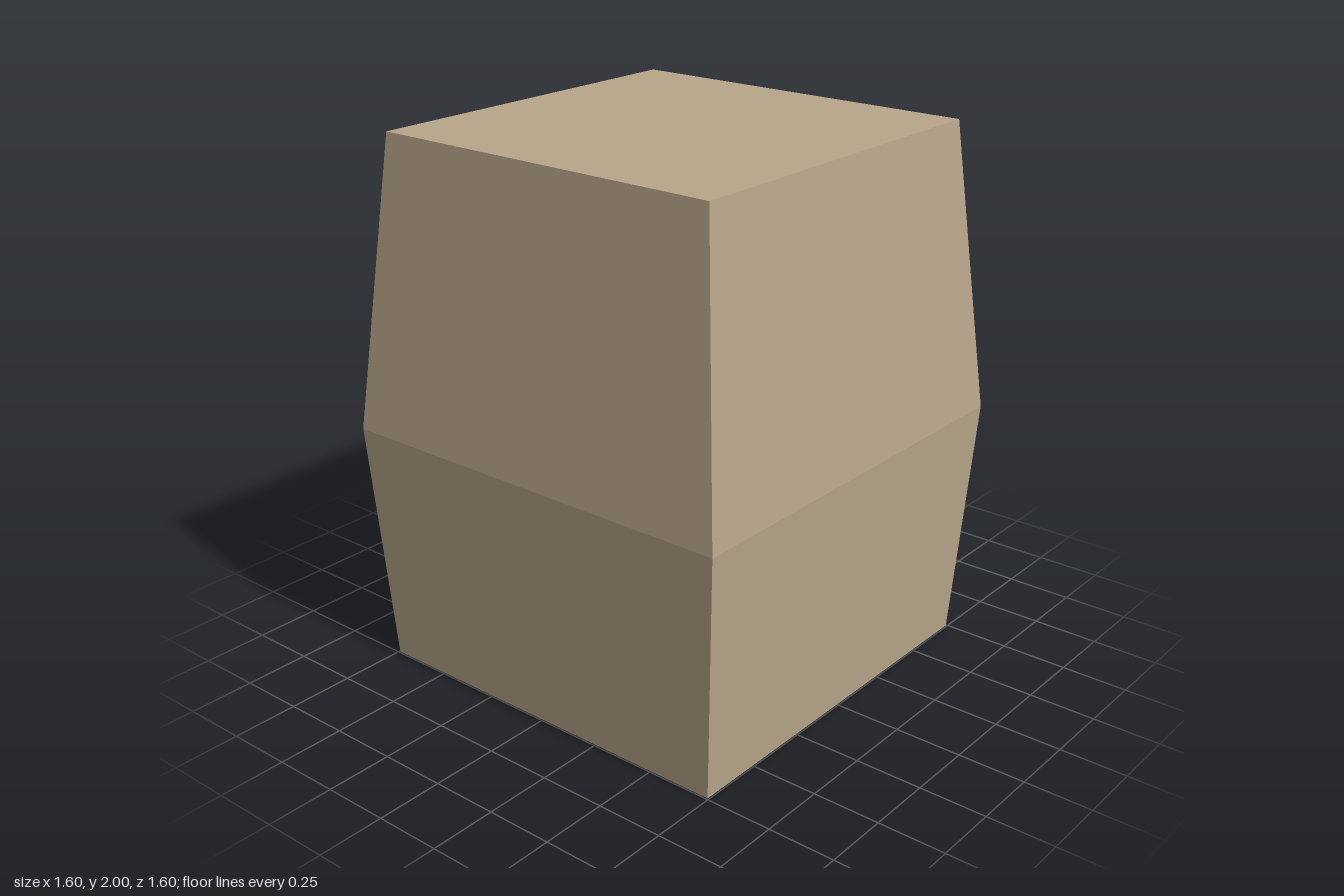
import * as THREE from 'three';

export function createModel() {
  const group = new THREE.Group();

  // Square block, widest just below the middle, tapering to both ends
  const rings = [
    { y: 0, half: 0.745 },
    { y: 0.92, half: 0.8 },
    { y: 2, half: 0.695 },
  ];
  const geometry = new THREE.BoxGeometry(2, 2, 2, 1, 2, 1);
  const pos = geometry.attributes.position;
  for (let i = 0; i < pos.count; i++) {
    const { y, half } = rings[Math.round(pos.getY(i)) + 1];
    pos.setXYZ(i, Math.sign(pos.getX(i)) * half, y, Math.sign(pos.getZ(i)) * half);
  }
  geometry.computeVertexNormals();

  const material = new THREE.MeshStandardMaterial({ color: 0xb8a68a, flatShading: true });
  const block = new THREE.Mesh(geometry, material);
  block.name = 'taperedBlock';
  group.add(block);
  return group;
}
